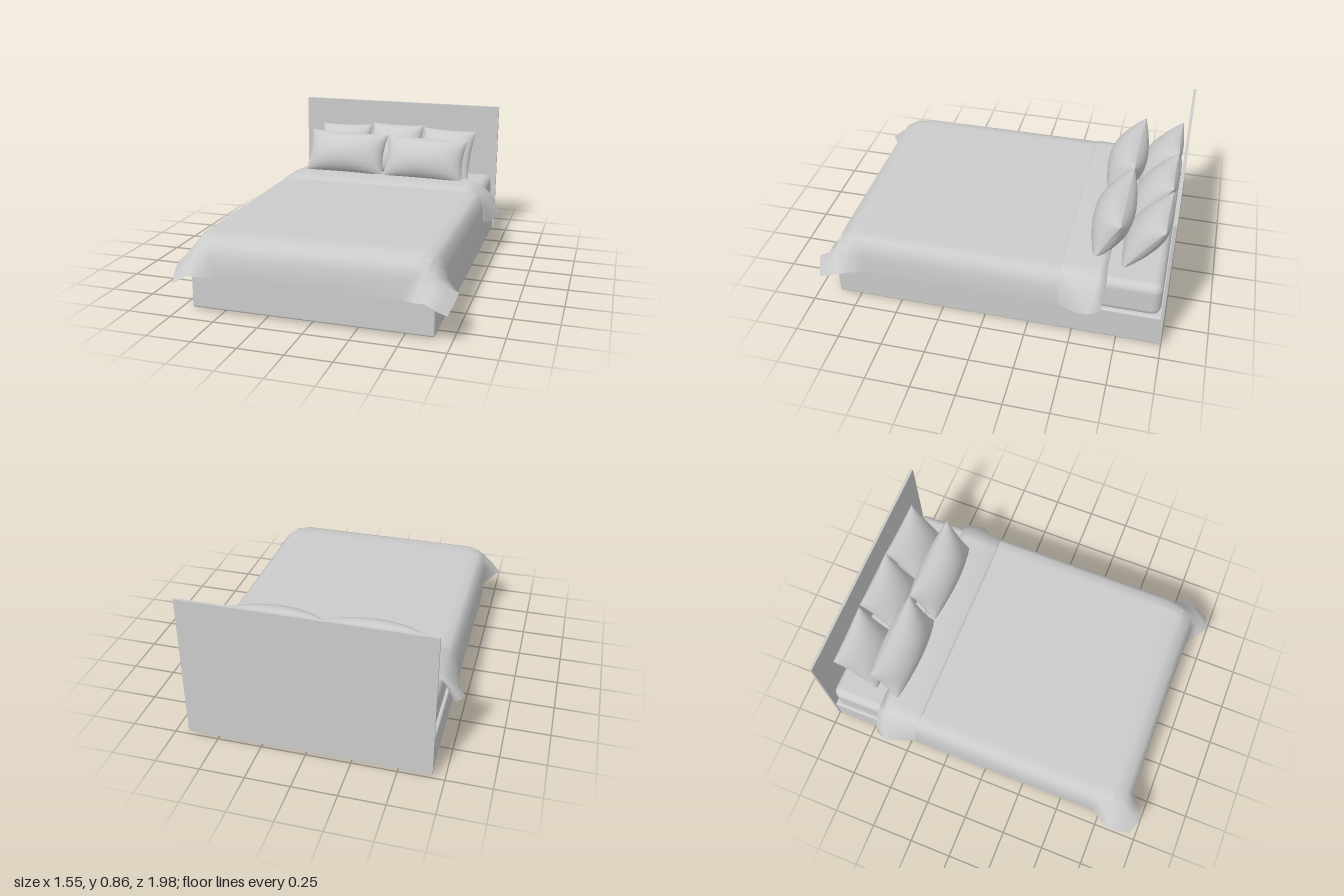
import * as THREE from 'three';
import { RoundedBoxGeometry } from 'three/addons/geometries/RoundedBoxGeometry.js';
import { mergeGeometries } from 'three/addons/utils/BufferGeometryUtils.js';

const CENTRE = -0.01; // the bed's own centre line in x
const grey = new THREE.MeshStandardMaterial({ color: 0xcccccc });
const cloth = new THREE.MeshStandardMaterial({ color: 0xcccccc, side: THREE.DoubleSide });

function add(group, name, geometry, material = grey) {
  const mesh = new THREE.Mesh(geometry, material);
  mesh.name = name;
  group.add(mesh);
  return mesh;
}

function block(group, name, [x0, x1], [y0, y1], [z0, z1], radius) {
  const size = [x1 - x0, y1 - y0, z1 - z0];
  const geometry = radius
    ? new RoundedBoxGeometry(...size, 3, radius)
    : new THREE.BoxGeometry(...size);
  add(group, name, geometry).position.set((x0 + x1) / 2, (y0 + y1) / 2, (z0 + z1) / 2);
}

// Cloth from half rows of [distance from centre line, y, z], each mirrored to both sides
function drape(halfRows) {
  const rows = halfRows.map((half) => [
    ...half.slice(1).reverse().map(([d, y, z]) => [CENTRE - d, y, z]),
    ...half.map(([d, y, z]) => [CENTRE + d, y, z]),
  ]);
  const n = rows[0].length;
  const index = [];
  for (let j = 0; j < rows.length - 1; j++) {
    for (let i = 0; i < n - 1; i++) {
      const a = j * n + i, b = a + n;
      index.push(a, b, a + 1, a + 1, b, b + 1);
    }
  }
  const geometry = new THREE.BufferGeometry();
  geometry.setAttribute('position', new THREE.Float32BufferAttribute(rows.flat(2), 3));
  geometry.setIndex(index);
  geometry.computeVertexNormals();
  return geometry;
}

// Two bulging faces that meet in a seam, with pulled-out corners
function pillowGeometry(width, height, thickness) {
  const faces = [1, -1].map((side) => {
    const plane = new THREE.PlaneGeometry(2, 2, 14, 12);
    if (side < 0) plane.rotateY(Math.PI);
    const p = plane.attributes.position;
    for (let i = 0; i < p.count; i++) {
      const u = Math.sin(p.getX(i) * Math.PI / 2), v = Math.sin(p.getY(i) * Math.PI / 2);
      const eu = Math.max(0, 1 - u * u), ev = Math.max(0, 1 - v * v);
      p.setXYZ(
        i,
        u * width / 2 * (1 - 0.07 * ev),
        v * height / 2 * (1 - 0.07 * eu),
        side * thickness / 2 * Math.pow(eu * ev, 0.5),
      );
    }
    plane.computeVertexNormals();
    return plane;
  });
  return mergeGeometries(faces);
}

export function createModel() {
  const bed = new THREE.Group();
  bed.name = 'bed';

  // Frame
  block(bed, 'plinth', [-0.6, 0.58], [0, 0.03], [-0.92, 0.8]);
  block(bed, 'base', [-0.68, 0.66], [0.012, 0.21], [-0.99, 0.875], 0.012);
  block(bed, 'headboard', [-0.685, 0.67], [0.02, 0.86], [-0.998, -0.982]);
  block(bed, 'mattress', [-0.665, 0.645], [0.19, 0.405], [-0.975, 0.83], 0.05);

  // Duvet: flat top, hanging sides, rolled foot end and flared corners
  const straight = (z) => [
    [0, 0.417, z], [0.58, 0.417, z], [0.635, 0.41, z],
    [0.667, 0.385, z], [0.688, 0.32, z], [0.69, 0.212, z],
  ];
  add(bed, 'duvet', drape([
    straight(-0.43),
    straight(0.1),
    straight(0.7),
    [[0, 0.414, 0.79], [0.57, 0.414, 0.79], [0.625, 0.4, 0.79], [0.66, 0.37, 0.79], [0.71, 0.3, 0.79], [0.755, 0.24, 0.785]],
    [[0, 0.385, 0.855], [0.56, 0.385, 0.855], [0.61, 0.37, 0.855], [0.66, 0.335, 0.86], [0.72, 0.285, 0.85], [0.775, 0.245, 0.815]],
    [[0, 0.31, 0.885], [0.55, 0.31, 0.89], [0.6, 0.305, 0.905], [0.66, 0.28, 0.92], [0.72, 0.24, 0.91], [0.765, 0.21, 0.88]],
    [[0, 0.197, 0.885], [0.5, 0.2, 0.888], [0.57, 0.215, 0.94], [0.64, 0.235, 0.985], [0.7, 0.195, 0.97], [0.745, 0.17, 0.95]],
  ]), cloth);

  // Turned-back cuff of the duvet, flaring out past the mattress
  add(bed, 'duvetCuff', drape([
    [[0, 0.4, -0.655], [0.58, 0.395, -0.655], [0.65, 0.36, -0.655], [0.69, 0.3, -0.655], [0.72, 0.23, -0.64]],
    [[0, 0.43, -0.665], [0.57, 0.43, -0.668], [0.65, 0.39, -0.675], [0.71, 0.33, -0.67], [0.745, 0.26, -0.66]],
    [[0, 0.445, -0.63], [0.57, 0.445, -0.63], [0.65, 0.405, -0.63], [0.715, 0.34, -0.62], [0.77, 0.25, -0.6]],
    [[0, 0.442, -0.52], [0.57, 0.44, -0.52], [0.645, 0.41, -0.52], [0.705, 0.335, -0.52], [0.735, 0.215, -0.52]],
    [[0, 0.432, -0.425], [0.57, 0.432, -0.425], [0.64, 0.415, -0.425], [0.69, 0.35, -0.425], [0.705, 0.225, -0.43]],
    [[0, 0.414, -0.41], [0.57, 0.414, -0.41], [0.635, 0.4, -0.41], [0.68, 0.34, -0.41], [0.692, 0.235, -0.42]],
  ]), cloth);

  // Pillows: three leaning on the headboard, two wider ones in front
  const backPillow = pillowGeometry(0.36, 0.37, 0.18);
  const frontPillow = pillowGeometry(0.54, 0.29, 0.22);
  const place = (name, geometry, x, y, z, tilt, roll) => {
    add(bed, name, geometry, cloth).position.set(x, y, z);
    bed.children.at(-1).rotation.set(-tilt, 0, roll);
  };
  [-0.37, -0.01, 0.345].forEach((x, i) =>
    place('backPillow', backPillow, x, i === 1 ? 0.562 : 0.545, -0.848, 0.62, [0.03, 0, -0.03][i]));
  place('frontPillow', frontPillow, -0.29, 0.558, -0.655, 0.48, -0.015);
  place('frontPillow', frontPillow, 0.245, 0.552, -0.65, 0.48, -0.02);

  return bed;
}
